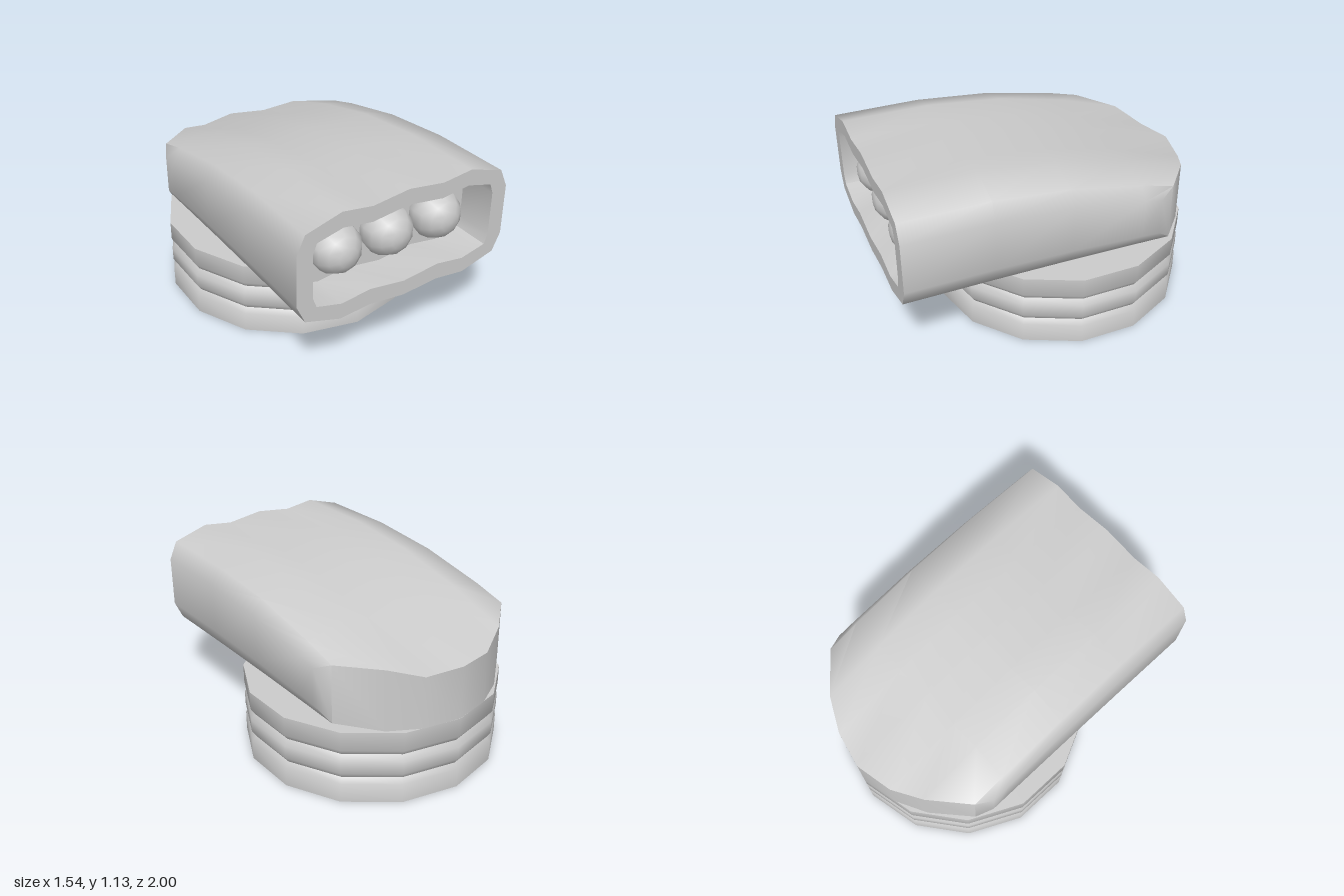
import * as THREE from 'three';
import { toCreasedNormals } from 'three/addons/utils/BufferGeometryUtils.js';

const CREASE = 0.9;

// Right half of the scoop's section, top centre round to bottom centre:
// outer x, y; inner x, y; z where the column ends; share of the rear droop
const HALF = [
  [0.00, 1.13, 0.00, 1.035, -1.00, 1.0],
  [0.23, 1.10, 0.23, 1.005, -0.95, 1.0],
  [0.42, 1.125, 0.41, 1.03, -0.85, 1.0],
  [0.64, 1.06, 0.57, 0.99, -0.66, 0.9],
  [0.69, 0.95, 0.592, 0.93, -0.56, 0.7],
  [0.69, 0.64, 0.592, 0.66, -0.56, 0.26],
  [0.64, 0.53, 0.57, 0.60, -0.66, 0.1],
  [0.42, 0.465, 0.41, 0.56, -0.85, 0],
  [0.23, 0.485, 0.23, 0.585, -0.95, 0.08],
  [0.00, 0.462, 0.00, 0.555, -1.00, 0],
];
const mirror = ([x, y, ix, ...rest]) => [-x, y, -ix, ...rest];
// Full loop: top from -x to +x, then bottom from +x to -x
const LOOP = [
  ...HALF.slice(1, 5).reverse().map(mirror),
  ...HALF,
  ...HALF.slice(5, 9).reverse().map(mirror),
];

const droop = (z) => (z > 0.6 ? 0 : 0.34 * Math.pow((0.6 - z) / 1.6, 1.9));
const outerPoint = (p, z) => [p[0], p[1] - p[5] * droop(z), z];
const outerRing = (z) => LOOP.map((p) => outerPoint(p, z));
const innerRing = (z) => LOOP.map((p) => [p[2], p[3], z]);

function scoopGeometry() {
  const n = LOOP.length;
  const rings = [
    innerRing(0.76), innerRing(1), // intake recess
    outerRing(1), outerRing(0.47), outerRing(0), outerRing(-0.45),
    LOOP.map((p) => outerPoint(p, p[4])), // rounded rear edge
  ];
  const index = [];
  for (let r = 0; r < rings.length - 1; r++) {
    for (let i = 0; i < n; i++) {
      const a = r * n + i, b = r * n + (i + 1) % n;
      index.push(a, b, a + n, b, b + n, a + n);
    }
  }
  // Recess floor and rear wall: strips joining top and bottom columns
  const last = (rings.length - 1) * n;
  for (let i = 0; i < n / 2 - 1; i++) {
    const t = i, u = i + 1, b = n - 1 - i, c = n - 2 - i;
    index.push(t, b, u, u, b, c);
    index.push(last + t, last + u, last + b, last + u, last + c, last + b);
  }
  const g = new THREE.BufferGeometry();
  g.setAttribute('position', new THREE.Float32BufferAttribute(rings.flat(2), 3));
  g.setIndex(index);
  return toCreasedNormals(g, CREASE);
}

export function createModel() {
  const group = new THREE.Group();
  const grey = new THREE.MeshStandardMaterial({ color: 0xcccccc });
  grey.name = 'light grey';
  grey.side = THREE.DoubleSide;

  const add = (name, geometry, x = 0, y = 0, z = 0) => {
    const mesh = new THREE.Mesh(geometry, grey);
    mesh.name = name;
    mesh.position.set(x, y, z);
    group.add(mesh);
  };

  add('scoopBody', scoopGeometry());

  // Ribbed collar, open below and closed on top
  const profile = [
    [0.79, 0], [0.79, 0.12], [0.765, 0.153], [0.79, 0.19], [0.79, 0.27],
    [0.765, 0.307], [0.79, 0.343], [0.79, 0.46], [0, 0.46],
  ].map(([r, y]) => new THREE.Vector2(r, y));
  const collar = new THREE.LatheGeometry(profile, 14);
  collar.deleteAttribute('normal');
  collar.deleteAttribute('uv');
  add('ribbedCollar', toCreasedNormals(collar, CREASE), 0, 0, -0.21);

  // Three round intake valves inside the recess
  for (const x of [-0.34, 0, 0.34]) {
    const ball = new THREE.SphereGeometry(0.155, 10, 8);
    ball.rotateX(Math.PI / 2).rotateZ(Math.PI / 2);
    add('intakeBall', ball, x, 0.795, 0.81);
  }
  return group;
}
